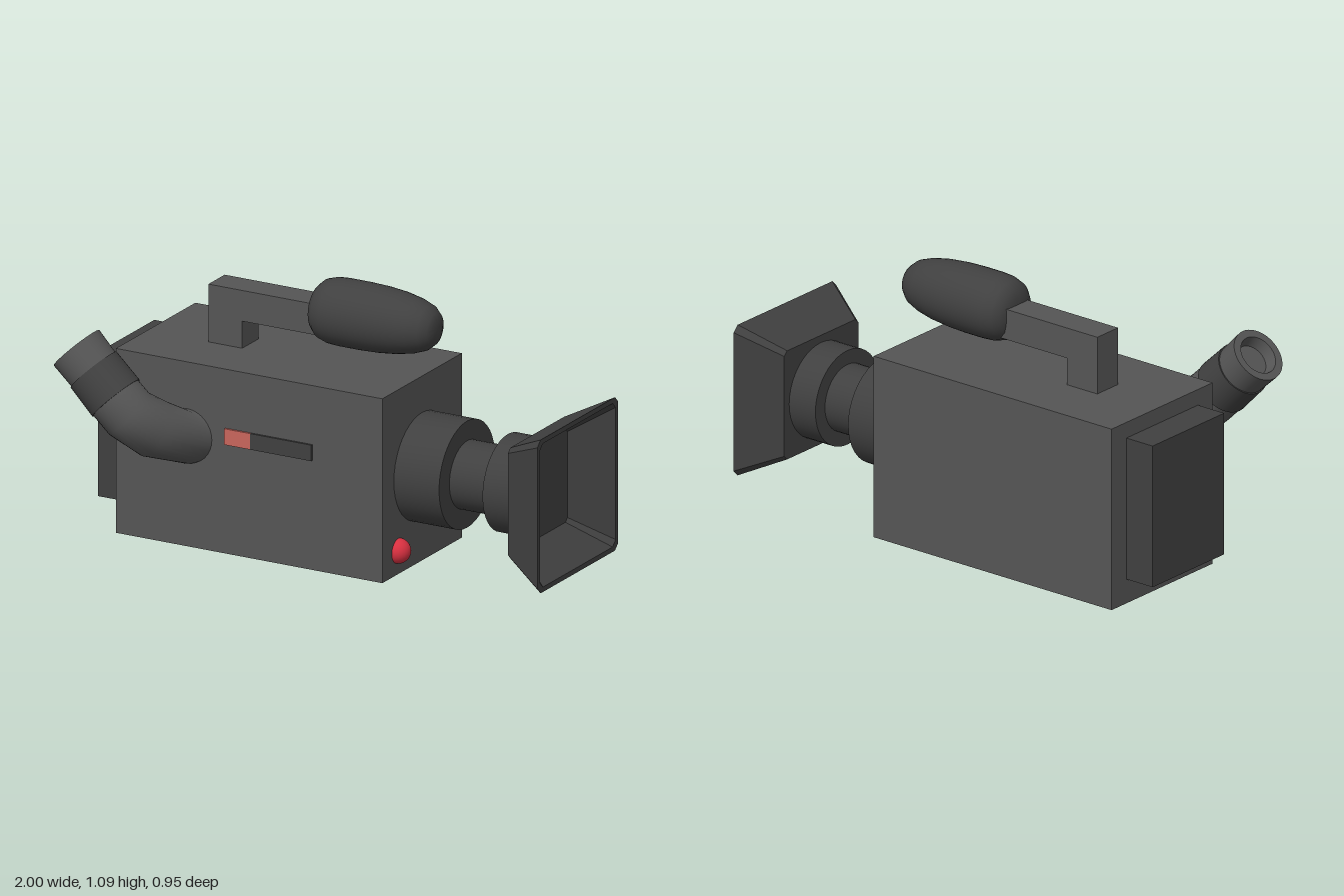
import * as THREE from 'three';
import { toCreasedNormals } from 'three/addons/utils/BufferGeometryUtils.js';

const AXIS_Z = -0.163; // centre line of body, lens, handle and microphone
const LENS_Y = 0.385;

const paint = (color) => new THREE.MeshStandardMaterial({ color });
const BODY = paint(0x555555);
const DARK = paint(0x404040);
const RED = paint(0xd83040);
const SALMON = paint(0xc8655c);

function add(group, name, geometry, material, x = 0, y = 0, z = 0) {
  const mesh = new THREE.Mesh(geometry, material);
  mesh.name = name;
  mesh.position.set(x, y, z);
  group.add(mesh);
  return mesh;
}

// Box given by its limits on each axis
function box(group, name, material, [x0, x1], [y0, y1], [z0, z1]) {
  const geometry = new THREE.BoxGeometry(x1 - x0, y1 - y0, z1 - z0);
  return add(group, name, geometry, material, (x0 + x1) / 2, (y0 + y1) / 2, (z0 + z1) / 2);
}

// Turned part from [radius, height] pairs, creased at sharp steps
function turned(profile, crease = 0.6) {
  const points = profile.map(([r, h]) => new THREE.Vector2(r, h));
  return toCreasedNormals(new THREE.LatheGeometry(points, 40), crease);
}

// Skin joining equal-sized closed rings of points, in order
function loft(rings, crease) {
  const n = rings[0].length;
  const index = [];
  for (let i = 0; i < rings.length - 1; i++) {
    for (let j = 0; j < n; j++) {
      const a = i * n + j, b = i * n + (j + 1) % n;
      index.push(a, b, b + n, a, b + n, a + n);
    }
  }
  const geometry = new THREE.BufferGeometry().setFromPoints(rings.flat());
  geometry.setIndex(index);
  return toCreasedNormals(geometry, crease);
}

// Square ring with cut corners, facing +z
function squareRing(half, z) {
  const c = half * 0.92;
  return [[half, -c], [half, c], [c, half], [-c, half], [-half, c], [-half, -c], [-c, -half], [c, -half]]
    .map(([x, y]) => new THREE.Vector3(x, y, z));
}

// Round ring at a centre, facing along a direction
function roundRing(centre, direction, radius) {
  const turn = new THREE.Quaternion().setFromUnitVectors(
    new THREE.Vector3(0, 0, 1), new THREE.Vector3(...direction).normalize());
  return Array.from({ length: 32 }, (_, i) => {
    const a = (i / 32) * Math.PI * 2;
    return new THREE.Vector3(radius * Math.cos(a), radius * Math.sin(a), 0)
      .applyQuaternion(turn).add(new THREE.Vector3(...centre));
  });
}

function buildBody(group) {
  const sides = [-0.47, 0.143];
  box(group, 'body', BODY, [-0.87, 0.13], [0.14, 0.75], sides);
  box(group, 'bodyBase', BODY, [-0.87, 0.13], [0, 0.14], sides);
  box(group, 'frontPanel', BODY, [0.13, 0.31], [0, 0.75], sides);
  box(group, 'battery', DARK, [-1, -0.87], [0.1, 0.685], [-0.38, 0.055]);
  add(group, 'recordingLight', new THREE.SphereGeometry(0.05, 24, 16), RED, 0.31, 0.095, 0.02);

  // Row of side buttons
  [[-0.385, -0.27, SALMON], [-0.27, -0.117, DARK], [-0.117, 0, DARK]].forEach(([x0, x1, material]) =>
    box(group, 'sideButton', material, [x0, x1], [0.445, 0.51], [0.13, 0.152]));
}

function buildLens(group) {
  const barrel = add(group, 'lensBarrel', turned([
    [0, 0.3], [0.217, 0.3], [0.217, 0.51], [0.137, 0.51],
    [0.137, 0.69], [0.195, 0.69], [0.195, 0.83], [0, 0.83],
  ]), DARK, 0, LENS_Y, AXIS_Z);
  barrel.rotation.z = -Math.PI / 2;

  // Flared square hood: outer wall, thin rim, then recessed inside
  const rings = [[0, 0.82], [0.225, 0.82], [0.312, 1], [0.292, 1], [0.19, 0.845], [0, 0.845]]
    .map(([half, z]) => squareRing(half, z));
  const hood = add(group, 'lensHood', loft(rings, 0.5), DARK, 0, LENS_Y, AXIS_Z);
  hood.rotation.y = Math.PI / 2;
}

function buildHandle(group) {
  // L-shaped handle
  const shape = new THREE.Shape([
    [-0.6, 0.74], [-0.45, 0.74], [-0.45, 0.86], [-0.1, 0.86], [-0.1, 0.985], [-0.6, 0.985],
  ].map(([x, y]) => new THREE.Vector2(x, y)));
  const geometry = new THREE.ExtrudeGeometry(shape, { depth: 0.126, bevelEnabled: false });
  add(group, 'handle', geometry, BODY, 0, 0, AXIS_Z - 0.063);

  // Foam-covered microphone
  const microphone = add(group, 'microphone', turned([
    [0, -0.155], [0.06, -0.153], [0.095, -0.14], [0.118, -0.115], [0.13, -0.075], [0.133, -0.03],
    [0.133, 0.06], [0.13, 0.14], [0.122, 0.22], [0.108, 0.29], [0.09, 0.34], [0.065, 0.37],
    [0.04, 0.379], [0, 0.381],
  ], 1), DARK, 0, 0.952, AXIS_Z + 0.003);
  microphone.rotation.z = -Math.PI / 2;
}

function buildViewfinder(group) {
  // Bent tube leaving the body side and turning up and back
  const tube = loft([
    roundRing([-0.555, 0.45, 0.143], [0, 0, 1], 0.11),
    roundRing([-0.56, 0.45, 0.155], [0, 0, 1], 0.11),
    roundRing([-0.62, 0.51, 0.285], [-0.51, 0.51, 0.69], 0.115),
    roundRing([-0.69, 0.58, 0.355], [-0.68, 0.68, 0.27], 0.111),
    roundRing([-0.75, 0.64, 0.36], [-1, 1, 0], 0.11),
  ], 0.9);
  add(group, 'viewfinderTube', tube, BODY);

  // Eyepiece ring and hollow eyecup
  const eyepiece = new THREE.Group();
  eyepiece.name = 'eyepiece';
  eyepiece.position.set(-0.745, 0.635, 0.36);
  eyepiece.rotation.z = Math.PI / 4;
  add(eyepiece, 'eyepieceRing', turned([[0, 0], [0.115, 0], [0.112, 0.14], [0, 0.14]]), DARK);
  add(eyepiece, 'eyecup', turned([
    [0.107, 0.135], [0.111, 0.247], [0.08, 0.247], [0.066, 0.2], [0, 0.2],
  ]), BODY);
  group.add(eyepiece);
}

export function createModel() {
  const group = new THREE.Group();
  group.name = 'videoCamera';
  buildBody(group);
  buildLens(group);
  buildHandle(group);
  buildViewfinder(group);
  return group;
}
